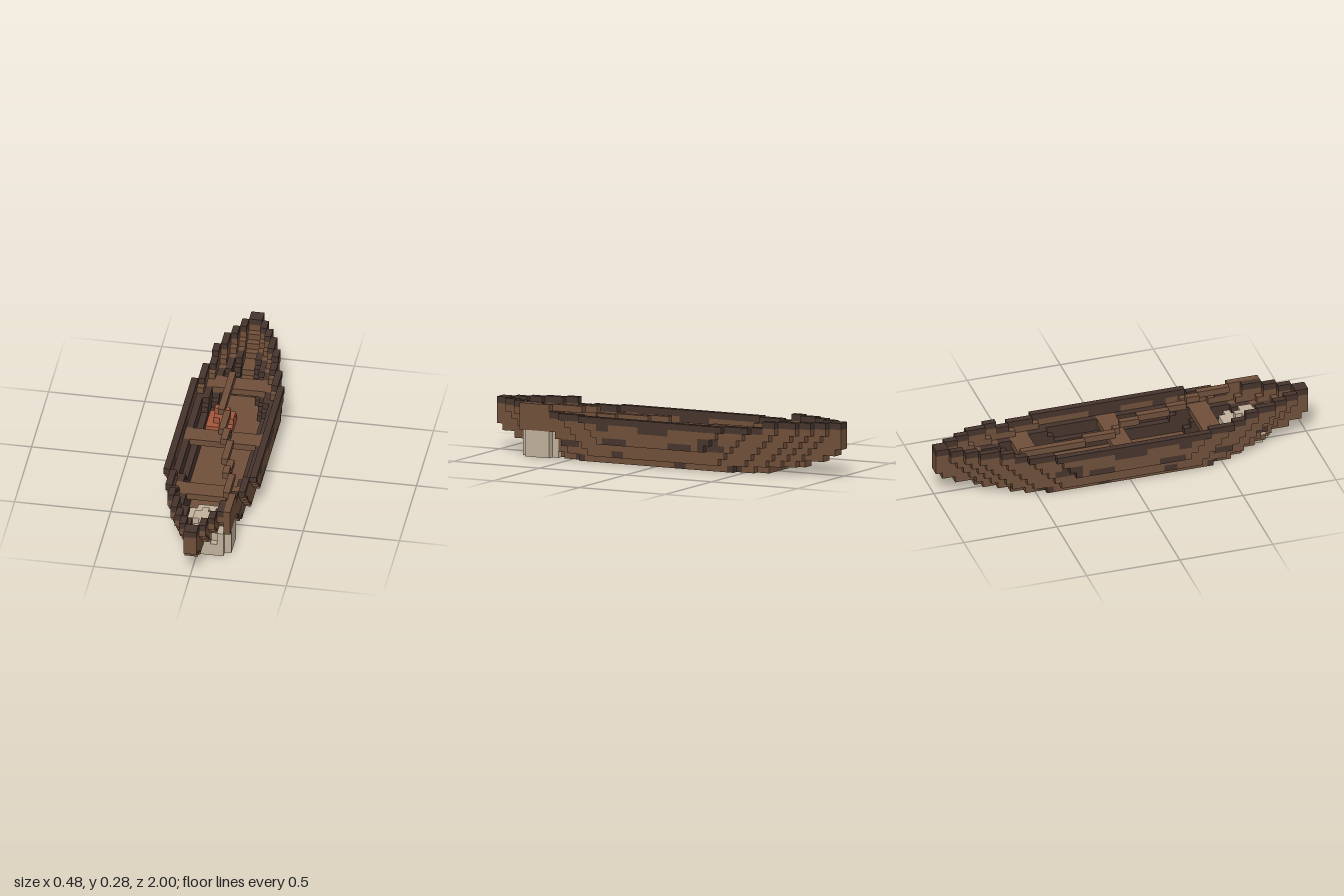
import * as THREE from 'three';

const U = 2 / 58; // edge of one block
const mat = (name, color) => Object.assign(new THREE.MeshStandardMaterial({ color }), { name });

// Hull plan: PLAN[w] is how far from midships the half-width w reaches, in blocks
const PLAN = [99, 29, 27, 25, 23, 20, 16, 12];
const INSET = [7, 5, 4, 3, 2, 1, 0, 0];          // each lower layer is pulled in
const REACH = [18, 23, 26, 28, 29, 29, 29, 29];  // stem and stern rake
const WIDEST = [5, 6, 6, 7, 7, 7, 7, 7];

// Dark blotches on the planking: [layer, from z, to z]
const STAINS = [
  [2, 13, 15], [3, 4, 7], [3, -7, -4], [3, -12, -9], [0, -5, -4], [0, 12, 13],
  [1, 5, 6], [4, -11, -9], [5, -3, 1], [5, 7, 8], [0, -14, -13], [2, 25, 25], [3, 20, 21],
];

function halfWidth(l, b) {
  if (l < 0 || b >= REACH[l]) return 0;
  let w = 1;
  while (w < WIDEST[l] && PLAN[w + 1] > b + INSET[l]) w++;
  return w;
}

// Geometry of the exposed faces of a list of blocks
function blockGeometry(cells, filled) {
  const pos = [], nor = [];
  for (const c of cells) {
    for (let ax = 0; ax < 3; ax++) {
      for (const s of [-1, 1]) {
        const n = [0, 0, 0];
        n[ax] = s;
        if (filled(c[0] + n[0], c[1] + n[1], c[2] + n[2])) continue;
        const u = (ax + 1) % 3, v = (ax + 2) % 3;
        const q = [[0, 0], [1, 0], [1, 1], [0, 1]].map(([du, dv]) => {
          const p = [...c];
          p[ax] += s > 0 ? 1 : 0;
          p[u] += du;
          p[v] += dv;
          return p.map((t) => t * U);
        });
        const order = s > 0 ? [0, 1, 2, 0, 2, 3] : [0, 2, 1, 0, 3, 2];
        for (const i of order) {
          pos.push(...q[i]);
          nor.push(...n);
        }
      }
    }
  }
  const g = new THREE.BufferGeometry();
  g.setAttribute('position', new THREE.Float32BufferAttribute(pos, 3));
  g.setAttribute('normal', new THREE.Float32BufferAttribute(nor, 3));
  return g;
}

export function createModel() {
  const wood = mat('wood', 0x6f4f3a);
  const darkWood = mat('darkWood', 0x46342c);
  const stone = mat('stone', 0xc0b09b);
  const clay = mat('clay', 0xa5563c);
  const parts = {
    planking: wood, keel: wood, stains: darkWood, rim: darkWood, lining: darkWood,
    benches: wood, oar: wood, rock: stone, hearth: clay,
  };

  const grid = new Map();
  const set = (part, x, y, z) => grid.set(`${x},${y},${z}`, { part, cell: [x, y, z] });
  // Fills a box of blocks (inclusive); round leaves out the upright corners
  const fill = (part, x0, x1, y0, y1, z0, z1, round = false) => {
    for (let x = x0; x <= x1; x++)
      for (let y = y0; y <= y1; y++)
        for (let z = z0; z <= z1; z++) {
          if (round && (x === x0 || x === x1) && (z === z0 || z === z1)) continue;
          set(part, x, y, z);
        }
  };

  // Hull shell, rim and inner lining
  const inside = (a, l, b) => a < halfWidth(l, b);
  const shell = (a, l, b) => inside(a, l, b) &&
    !(inside(a + 1, l, b) && inside(a, l, b + 1) && inside(a, l - 1, b));
  for (let l = 0; l < 8; l++) {
    for (let z = -29; z < 29; z++) {
      const b = z < 0 ? -1 - z : z;
      if (l === 7 && b < 18) continue;
      for (let x = -7; x < 7; x++) {
        const a = x < 0 ? -1 - x : x;
        if (shell(a, l, b)) {
          const top = l === 7 || (l === 6 && b < 18);
          const stained = a > 0 && STAINS.some(([sl, z0, z1]) => sl === l && z >= z0 && z <= z1) &&
            a === halfWidth(l, b) - 1;
          set(top ? 'rim' : stained ? 'stains' : 'planking', x, l, z);
        } else if (inside(a, l, b) && l <= 4 && (shell(a + 1, l, b) || shell(a, l, b + 1))) {
          if (a > 0) set('lining', x, l, z);
          else if (l <= 2) set('keel', x, l, z);
        }
      }
    }
  }

  // Three benches
  fill('benches', -5, 4, 4, 4, -16, -14);
  fill('benches', -6, 5, 4, 4, -2, 0);
  fill('benches', -5, 4, 4, 4, 12, 14);

  // Oar lying slantwise, rising in steps over the bow
  for (let z = -16; z <= 22; z++) {
    const x = Math.min(4, Math.max(-2, Math.round(-2 + (z + 9) * 0.21)));
    set('oar', x, z >= 11 ? 7 : z >= 0 ? 6 : 5, z);
  }
  fill('oar', 4, 4, 4, 7, 18, 22);

  // Rock that has broken through the bow
  fill('rock', -1, 4, 0, 1, 17, 22, true);
  fill('rock', 2, 4, 2, 3, 17, 22, true);
  fill('rock', -2, 2, 2, 3, 16, 22, true);
  fill('rock', -1, 1, 4, 4, 18, 21, true);

  // Clay hearth set into the floor
  fill('hearth', -4, -1, 0, 0, -11, -8, true);
  fill('hearth', -4, -1, 1, 1, -11, -8);
  fill('hearth', -3, -1, 2, 2, -10, -9);
  fill('hearth', -2, -2, 2, 2, -11, -8);
  set('hearth', -3, 3, -10);

  const group = new THREE.Group();
  group.name = 'boat';
  const filled = (x, y, z) => grid.has(`${x},${y},${z}`);
  for (const [name, material] of Object.entries(parts)) {
    const cells = [...grid.values()].filter((v) => v.part === name).map((v) => v.cell);
    if (!cells.length) continue;
    const mesh = new THREE.Mesh(blockGeometry(cells, filled), material);
    mesh.name = name;
    group.add(mesh);
  }
  return group;
}
